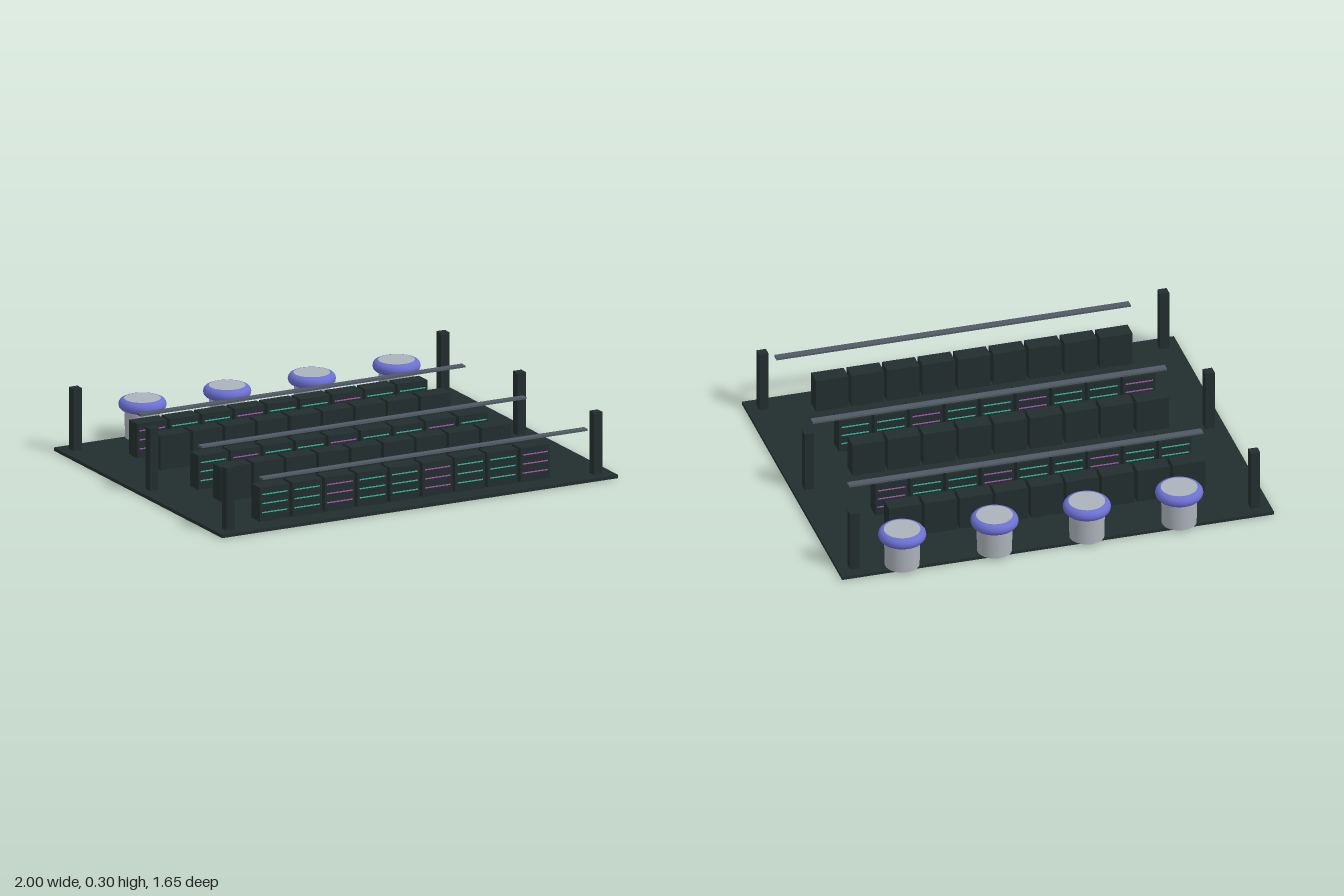
import * as THREE from 'three';

const mat = (name, color) => {
  const m = new THREE.MeshStandardMaterial({ color });
  m.name = name;
  return m;
};

export function createModel() {
  const model = new THREE.Group();
  model.name = 'serverHall';

  const dark = mat('darkSlate', 0x222e2e);
  const trayGrey = mat('trayGrey', 0x505a64);
  const metal = mat('paleMetal', 0xabb2b9);
  const indigo = mat('indigo', 0x6c70d2);
  const teal = mat('tealLight', 0x2fb79a);
  const magenta = mat('magentaLight', 0xa850b0);

  const add = (parent, name, geometry, material, x, y, z) => {
    const mesh = new THREE.Mesh(geometry, material);
    mesh.name = name;
    mesh.position.set(x, y, z);
    parent.add(mesh);
    return mesh;
  };

  const floorTop = 0.015;

  // Floor slab
  add(model, 'floor', new THREE.BoxGeometry(2, floorTop, 1.575), dark, 0, floorTop / 2, 0.0325);

  // Columns along both sides
  const columnGeo = new THREE.BoxGeometry(0.043, 0.287, 0.043);
  for (const x of [-0.93, 0.926])
    for (const z of [-0.682, 0.033, 0.748])
      add(model, 'column', columnGeo, dark, x, floorTop + 0.1435, z);

  // Rack rows; facing rows share an aisle, and every third rack has magenta lights
  const rackGeo = new THREE.BoxGeometry(0.15, 0.159, 0.078);
  const lightGeo = new THREE.BoxGeometry(0.128, 0.005, 0.004);
  const rows = [[-0.465, 1], [-0.249, -1], [0.106, 1], [0.321, -1], [0.681, 1]];
  rows.forEach(([z, facing], r) => {
    const row = new THREE.Group();
    row.name = 'rackRow';
    model.add(row);
    for (let i = 0; i < 9; i++) {
      const x = -0.681 + i * 0.1644;
      add(row, 'rack', rackGeo, dark, x, floorTop + 0.0795, z);
      const light = (i + r) % 3 === 0 ? magenta : teal;
      for (const y of [0.057, 0.099, 0.141])
        add(row, 'statusLight', lightGeo, light, x, y, z + facing * 0.04);
    }
  });

  // Overhead cable trays
  const trayGeo = new THREE.BoxGeometry(1.64, 0.009, 0.035);
  for (const z of [-0.357, 0.214, 0.785])
    add(model, 'cableTray', trayGeo, trayGrey, 0.035, 0.239, z);

  // Cooling units along the back edge
  const bodyGeo = new THREE.CylinderGeometry(0.082, 0.078, 0.18, 32);
  const ringGeo = new THREE.TorusGeometry(0.08, 0.0275, 14, 40).rotateX(Math.PI / 2);
  for (let i = 0; i < 4; i++) {
    const unit = new THREE.Group();
    unit.name = 'coolingUnit';
    unit.position.set(-0.572 + i * 0.4277, 0, -0.718);
    add(unit, 'coolingBody', bodyGeo, metal, 0, floorTop + 0.09, 0);
    add(unit, 'coolingRing', ringGeo, indigo, 0, 0.168, 0);
    model.add(unit);
  }

  return model;
}
